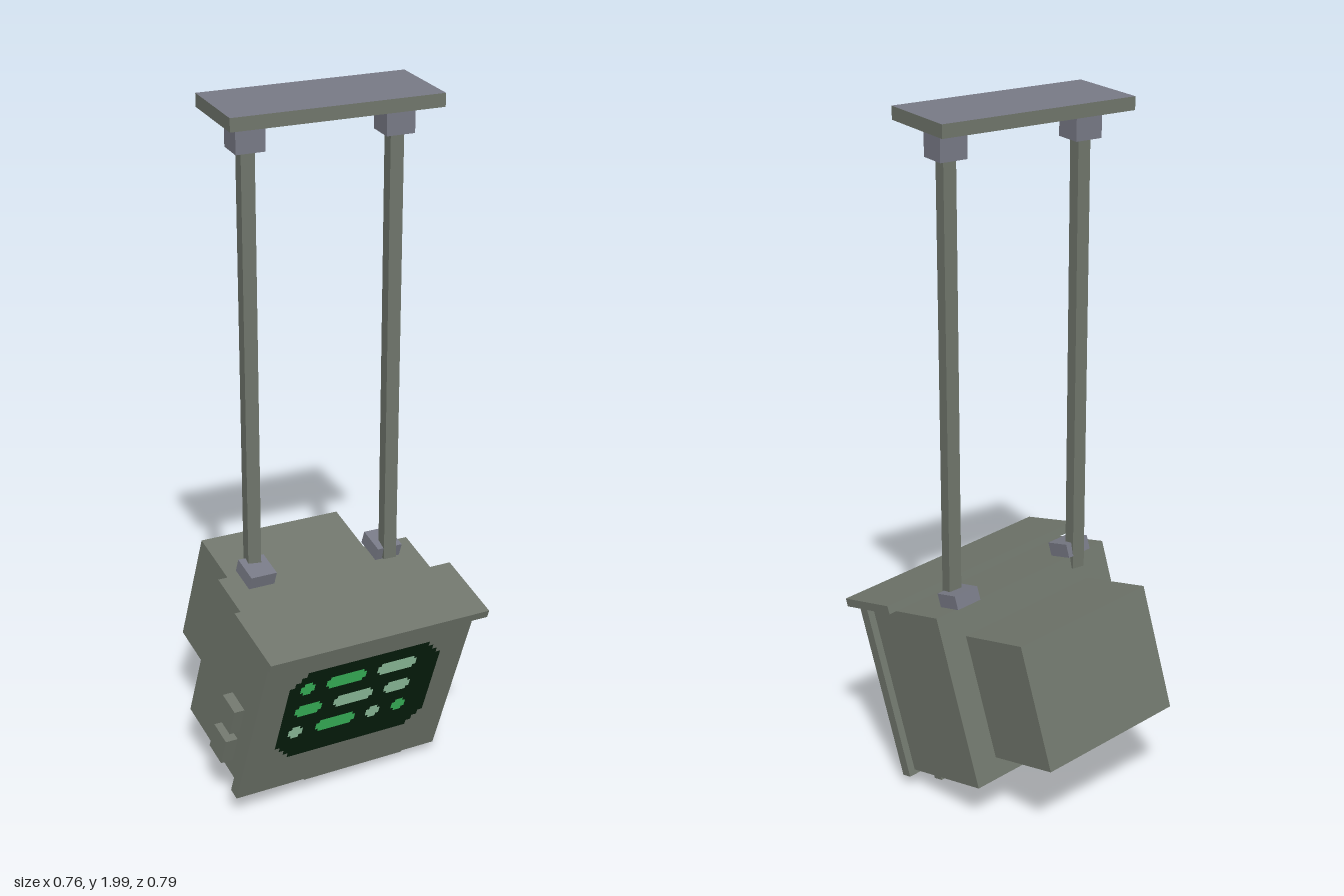
import * as THREE from 'three';

const mat = (name, color) => {
  const m = new THREE.MeshStandardMaterial({ color });
  m.name = name;
  return m;
};

// Rectangle whose corners are cut in small square stairs
function steppedShape(w, h, step, n) {
  const quarter = [];
  for (let i = 0; i <= n; i++) {
    quarter.push([w / 2 - i * step, h / 2 - (n - i) * step]);
    if (i < n) quarter.push([w / 2 - (i + 1) * step, h / 2 - (n - i) * step]);
  }
  const flip = (sx, sy) => quarter.map(([x, y]) => new THREE.Vector2(x * sx, y * sy));
  return new THREE.Shape([
    ...flip(1, 1), ...flip(-1, 1).reverse(), ...flip(-1, -1), ...flip(1, -1).reverse(),
  ]);
}

export function createModel() {
  const casing = mat('greenish grey casing', 0x70766c);
  const metal = mat('bluish grey metal', 0x787a86);
  const dark = mat('dark green screen', 0x061f0d);
  const bright = mat('bright green glyph', 0x3cc060);
  const pale = mat('pale green glyph', 0x98cca8);

  const model = new THREE.Group();
  model.name = 'hangingMonitor';

  const box = (parent, name, material, size, pos) => {
    const mesh = new THREE.Mesh(new THREE.BoxGeometry(...size), material);
    mesh.name = name;
    mesh.position.set(...pos);
    parent.add(mesh);
    return mesh;
  };

  // Ceiling plate, with a bare metal top face
  box(model, 'ceilingPlate', [casing, casing, metal, casing, casing, casing],
    [0.58, 0.036, 0.246], [-0.012, 1.982, 0.005]);

  // Two hanging rods with their upper sockets
  for (const side of [-1, 1]) {
    const x = -0.013 + side * 0.206;
    box(model, 'rodSocket', metal, [0.08, 0.085, 0.08], [x, 1.922, 0.008]);
    box(model, 'hangingRod', casing, [0.038, 1.26, 0.038], [x, 1.26, 0.008]);
  }

  // Monitor, tilted down and slightly askew
  const monitor = new THREE.Group();
  monitor.name = 'monitor';
  monitor.position.set(-0.0215, 0.36, 0.102);
  monitor.rotation.set(0.268, 0.122, -0.068, 'YXZ');
  model.add(monitor);

  box(monitor, 'body', casing, [0.62, 0.509, 0.31], [0, -0.0045, -0.04]);
  box(monitor, 'backHousing', casing, [0.456, 0.366, 0.25], [0.002, -0.016, -0.313]);
  box(monitor, 'frontPanel', casing, [0.662, 0.533, 0.034], [0, -0.0065, 0.13]);
  box(monitor, 'hood', casing, [0.7, 0.024, 0.21], [0, 0.271, 0.075]);
  box(monitor, 'bottomLip', casing, [0.334, 0.06, 0.034], [0.08, -0.286, 0.102]);

  // Lower rod brackets on top of the body
  for (const side of [-1, 1]) {
    box(monitor, 'rodBracket', metal, [0.08, 0.04, 0.08], [side * 0.206, 0.272, -0.172]);
  }

  // Control blocks on one side
  box(monitor, 'sideControl', casing, [0.05, 0.085, 0.072], [-0.322, -0.17, 0.024]);
  box(monitor, 'sideControl', casing, [0.044, 0.085, 0.072], [-0.319, -0.055, 0.024]);

  // Screen and its glyph rows
  const screen = new THREE.Group();
  screen.name = 'screen';
  screen.position.set(0, 0.016, 0.147);
  monitor.add(screen);

  const plate = (name, material, w, h, step, n, x, y, z) => {
    const mesh = new THREE.Mesh(new THREE.ShapeGeometry(steppedShape(w, h, step, n)), material);
    mesh.name = name;
    mesh.position.set(x, y, z);
    screen.add(mesh);
  };
  plate('screenBackground', dark, 0.49, 0.33, 0.016, 3, 0, 0, 0.003);

  const rows = [
    [0.105, [[-0.188, 0.045, bright], [-0.064, 0.127, bright], [0.101, 0.127, pale]]],
    [0.02, [[-0.168, 0.085, bright], [-0.023, 0.127, pale], [0.121, 0.085, pale]]],
    [-0.063, [[-0.192, 0.045, pale], [-0.063, 0.127, bright], [0.06, 0.045, pale], [0.146, 0.045, bright]]],
  ];
  for (const [y, marks] of rows) {
    for (const [x, w, material] of marks) {
      plate('glyph', material, w, 0.043, 0.01, 1, x, y, 0.006);
    }
  }

  return model;
}
